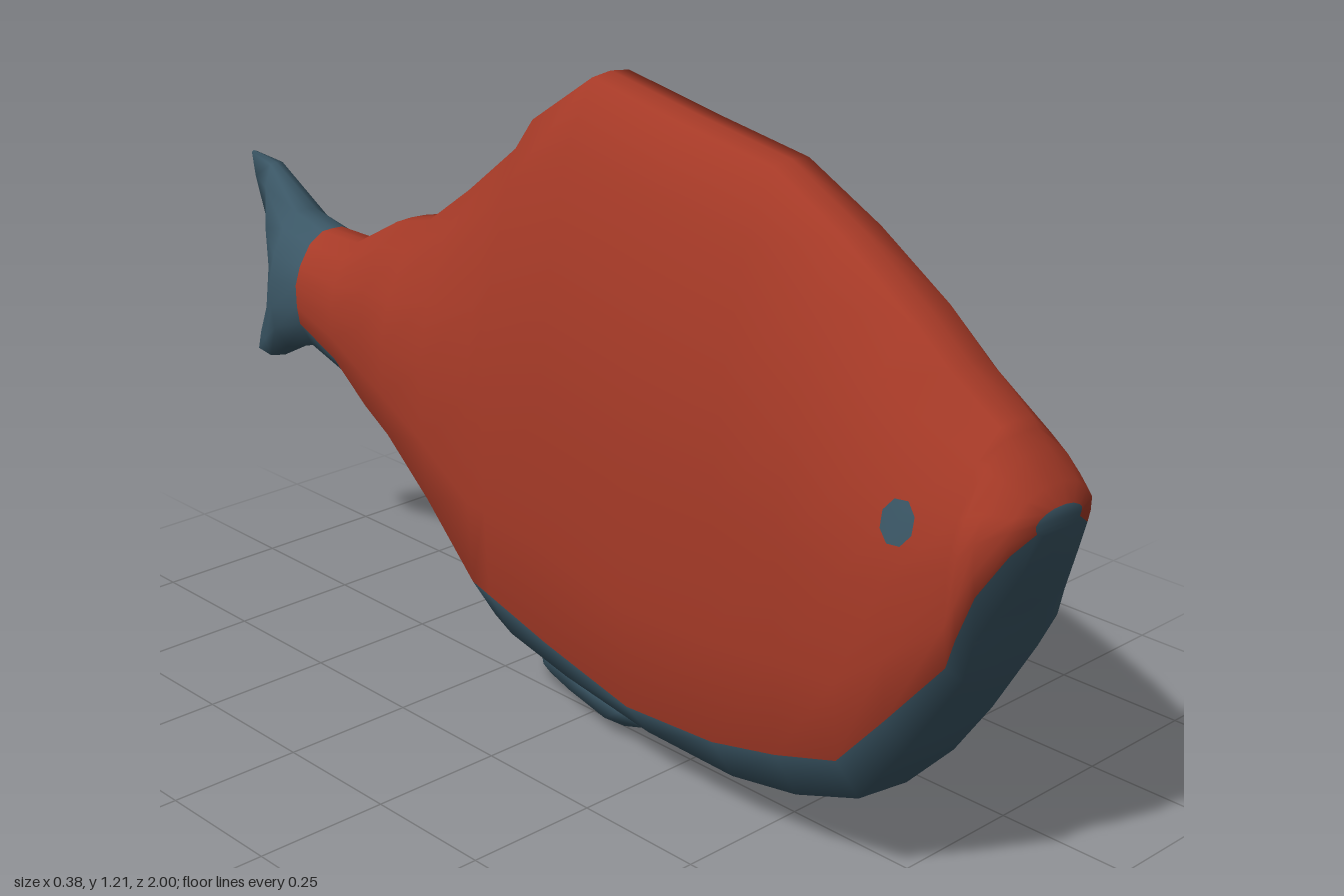
import * as THREE from 'three';

const red = new THREE.MeshStandardMaterial({ color: 0xa63a27 });
red.name = 'rust red skin';
const blue = new THREE.MeshStandardMaterial({ color: 0x3b5766 });
blue.name = 'slate blue belly';

// Skin closed rings of [x, y, z], listed front to back; isRed(i, j) picks the material
function loft(rings, isRed) {
  const n = rings[0].length;
  const pos = rings.flat(2);
  const sets = [[], []];
  for (let i = 0; i < rings.length - 1; i++) {
    for (let j = 0; j < n; j++) {
      const k = (j + 1) % n;
      const a = i * n + j, b = i * n + k, c = a + n, d = b + n;
      sets[isRed(i, j) ? 0 : 1].push(a, b, c, b, d, c);
    }
  }
  // End caps: strips across each ring, so that a notched end stays notched
  const last = (rings.length - 1) * n;
  for (let j = 0; j < n / 2; j++) {
    const k = j + 1, mj = (n - j) % n, mk = n - k;
    sets[1].push(k, j, mj, k, mj, mk);
    sets[1].push(last + j, last + k, last + mj, last + k, last + mk, last + mj);
  }
  const g = new THREE.BufferGeometry();
  g.setAttribute('position', new THREE.Float32BufferAttribute(pos, 3));
  g.setIndex([...sets[0], ...sets[1]]);
  g.addGroup(0, sets[0].length, 0);
  g.addGroup(sets[0].length, sets[1].length, 1);
  g.computeVertexNormals();
  return g;
}

// Complete a half ring (top to bottom on +x) with its mirror image
function mirror(half) {
  return [...half, ...half.slice(1, -1).reverse().map(([x, y, z]) => [-x, y, z])];
}

// Body stations: z, top, colour seam, bottom, half width, tail notch depth
const stations = [
  [1, 0.725, 0.695, 0.685, 0.055],
  [0.985, 0.755, 0.668, 0.62, 0.1],
  [0.95, 0.795, 0.6, 0.54, 0.133],
  [0.925, 0.82, 0.525, 0.5, 0.142],
  [0.912, 0.835, 0.475, 0.43, 0.146],
  [0.82, 0.9, 0.36, 0.275, 0.172],
  [0.74, 0.965, 0.265, 0.16, 0.19],
  [0.6, 1.06, 0.215, 0.105, 0.177],
  [0.45, 1.14, 0.175, 0.077, 0.166],
  [0.25, 1.172, 0.165, 0.085, 0.17],
  [0.04, 1.21, 0.21, 0.11, 0.168],
  [-0.11, 1.11, 0.25, 0.14, 0.167],
  [-0.155, 1.05, 0.262, 0.165, 0.167],
  [-0.28, 0.95, 0.385, 0.33, 0.167],
  [-0.4, 0.865, 0.475, 0.4, 0.16],
  [-0.5, 0.84, 0.497, 0.43, 0.131],
  [-0.64, 0.765, 0.545, 0.5, 0.092],
  [-0.745, 0.765, 0.59, 0.53, 0.093],
  [-0.83, 0.785, 0.56, 0.507, 0.093],
  [-0.92, 0.862, 0.51, 0.46, 0.058, 0.04],
  [-0.995, 0.872, 0.5, 0.452, 0.022, 0.1],
];
const tailStart = 17;

// Upper cross-section: share of half width, share of the drop from top to seam
const upper = [[0, 0], [0.25, 0.005], [0.6, 0.12], [0.87, 0.34], [1, 0.55], [0.99, 0.8], [0.93, 1]];

function bodyRing([z, top, seam, bottom, w, notch = 0]) {
  const half = upper.map(([u, v]) => [u * w, top - v * (top - seam)]);
  half.push([0.62 * w, seam + (bottom - seam) * 0.85], [0, bottom]);
  return mirror(half.map(([x, y]) => {
    const v = (top - y) / (top - bottom);
    return [x, y, z + notch * (1 - Math.abs(2 * v - 1))];
  }));
}

// Pelvic fin stations: z, bottom, root height, half width, root shift
function finRing([z, bottom, root, w, shift]) {
  return mirror([
    [0, root + 0.05, z + shift],
    [w, root, z + shift],
    [w * 0.5, bottom + (root - bottom) * 0.3, z + shift * 0.4],
    [0, bottom, z],
  ]);
}

// Eye patch laid on the cheek by casting rays at the body
function eyeGeometry(body, side) {
  const ray = new THREE.Raycaster();
  const onSkin = (y, z) => {
    ray.set(new THREE.Vector3(side, y, z), new THREE.Vector3(-side, 0, 0));
    const hit = ray.intersectObject(body)[0];
    return [(hit ? hit.point.x : side * 0.158) + side * 0.005, y, z];
  };
  const pos = [onSkin(0.69, 0.825)];
  const n = 8;
  for (let i = 0; i < n; i++) {
    const a = (i / n) * Math.PI * 2 * side + Math.PI / 8;
    pos.push(onSkin(0.69 + 0.037 * Math.cos(a), 0.825 + 0.028 * Math.sin(a)));
  }
  const index = [];
  for (let i = 0; i < n; i++) index.push(0, 1 + i, 1 + ((i + 1) % n));
  const g = new THREE.BufferGeometry();
  g.setAttribute('position', new THREE.Float32BufferAttribute(pos.flat(), 3));
  g.setIndex(index);
  g.computeVertexNormals();
  return g;
}

export function createModel() {
  const model = new THREE.Group();
  model.name = 'fish';
  const add = (name, geometry, material) => {
    const mesh = new THREE.Mesh(geometry, material);
    mesh.name = name;
    model.add(mesh);
    return mesh;
  };

  // Body and tail: red above the seam, blue below it and on the tail
  const body = add('bodyAndTail',
    loft(stations.map(bodyRing), (i, j) => i < tailStart && (j < 6 || j > 9)), [red, blue]);

  // Pelvic fin under the belly
  const fin = [
    [0.27, 0.09, 0.11, 0.09, 0],
    [0.18, 0.035, 0.11, 0.1, 0],
    [0.08, 0.004, 0.12, 0.1, 0],
    [-0.02, 0.02, 0.14, 0.09, 0],
    [-0.12, 0.038, 0.15, 0.06, 0.035],
  ];
  add('pelvicFin', loft(fin.map(finRing), () => false), [red, blue]);

  // Eyes
  add('leftEye', eyeGeometry(body, 1), blue);
  add('rightEye', eyeGeometry(body, -1), blue);
  return model;
}
